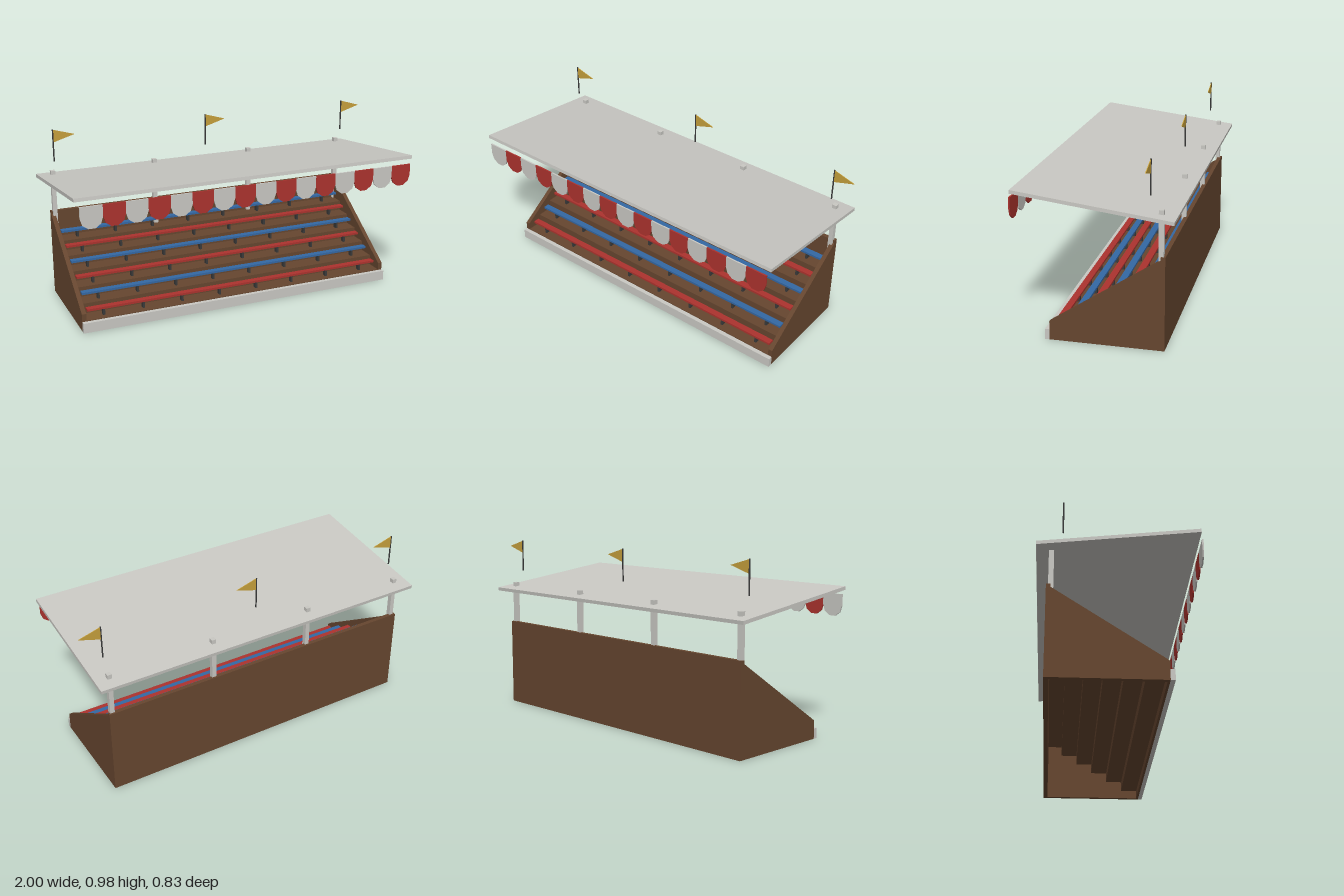
import * as THREE from 'three';

const CX = -0.022; // centre line of the stand
const HALF = 0.922; // half length of the seating body
const WALL = 0.024;
const ROWS = 6;

function material(name, color, side = THREE.FrontSide) {
  const m = new THREE.MeshStandardMaterial({ color, side });
  m.name = name;
  return m;
}

export function createModel() {
  const white = material('off white', 0xc9c8c3);
  const red = material('red', 0xac332e);
  const blue = material('blue', 0x3468a4);
  const gold = material('gold', 0xc6a03c);
  const wood = material('brown wood', 0x66462f);
  const dark = material('dark metal', 0x3a3a3a);
  const model = new THREE.Group();
  model.name = 'grandstand';

  function add(name, geometry, mat, x, y, z) {
    const mesh = new THREE.Mesh(geometry, mat);
    mesh.name = name;
    mesh.position.set(x, y, z);
    model.add(mesh);
    return mesh;
  }
  const box = (name, mat, w, h, d, x, y, z) =>
    add(name, new THREE.BoxGeometry(w, h, d), mat, x, y, z);

  // Extrudes a (z, y) outline along x, starting at x
  function sideProfile(name, points, length, x) {
    const shape = new THREE.Shape(points.map(([z, y]) => new THREE.Vector2(-z, y)));
    const g = new THREE.ExtrudeGeometry(shape, { depth: length, bevelEnabled: false });
    g.rotateY(Math.PI / 2);
    g.scale(1, 1, 1);
    return add(name, g, wood, x, 0, 0);
  }

  // Sloped end walls, back wall and front curb
  const endOutline = [[0.235, 0], [0.235, 0.1], [-0.337, 0.48], [-0.337, 0]];
  sideProfile('rightEndWall', endOutline, WALL, CX - HALF);
  sideProfile('leftEndWall', endOutline, WALL, CX + HALF - WALL);
  box('backWall', wood, HALF * 2, 0.497, 0.023, CX, 0.2485, -0.3485);
  box('frontCurb', white, HALF * 2, 0.056, 0.024, CX, 0.028, 0.247);

  // Hollow stepped terrace: upper line going back, lower line returning
  const z0 = 0.235, run = 0.572 / ROWS, rise = 0.057, y0 = 0.06, t = 0.012;
  const upper = [[z0, 0]], lower = [[z0 - t, 0]];
  for (let i = 0; i < ROWS; i++) {
    const y = y0 + rise * i, front = z0 - run * i;
    const back = front - run;
    upper.push([front, y], [back, y]);
    lower.push([front - t, y - t], [i < ROWS - 1 ? back - t : back, y - t]);
  }
  sideProfile('terrace', [...upper, ...lower.reverse()], (HALF - WALL) * 2, CX - HALF + WALL);

  // Benches on rows of brackets
  for (let i = 0; i < ROWS; i++) {
    const y = y0 + rise * i, z = z0 - run * (i + 0.5);
    box('bench' + (i + 1), i % 2 ? blue : red, 1.766, 0.012, 0.036, CX, y + 0.043, z);
    for (let k = 0; k < 8; k++) {
      box('benchBracket', dark, 0.012, 0.037, 0.026, CX + (k - 3.5) * 0.2257, y + 0.0185, z);
    }
  }

  // Roof posts and tilted roof
  for (let i = 0; i < 4; i++) {
    box('roofPost', white, 0.025, 0.395, 0.026, CX + (i - 1.5) * 0.6, 0.5375, -0.337);
  }
  box('roof', white, 1.956, 0.019, 0.822, CX, 0.7435, -0.005).rotation.x = -0.122;

  // Scalloped valance: short straight sides over a faceted half circle
  const r = 0.0597;
  const scallop = new THREE.Shape();
  scallop.moveTo(r, 0.062);
  scallop.lineTo(-r, 0.062);
  for (let k = 0; k <= 5; k++) {
    const a = Math.PI * (1 + k / 5);
    scallop.lineTo(r * Math.cos(a), r * Math.sin(a));
  }
  const scallopGeometry = new THREE.ExtrudeGeometry(scallop, { depth: 0.008, bevelEnabled: false });
  for (let i = 0; i < 16; i++) {
    add('valanceScallop', scallopGeometry, i % 2 ? red : white, -0.019 + (i - 7.5) * 0.1196, 0.696, 0.407);
  }

  // Pennants on poles
  const pennant = new THREE.Shape();
  pennant.moveTo(0, -0.035);
  pennant.lineTo(0.118, 0);
  pennant.lineTo(0, 0.035);
  const pennantGeometry = new THREE.ExtrudeGeometry(pennant, { depth: 0.004, bevelEnabled: false });
  for (let i = -1; i <= 1; i++) {
    const x = CX + i * 0.9;
    add('flagPole', new THREE.CylinderGeometry(0.004, 0.004, 0.18, 8), dark, x, 0.893, -0.282);
    add('pennant', pennantGeometry, gold, x + 0.003, 0.946, -0.284);
  }
  return model;
}
